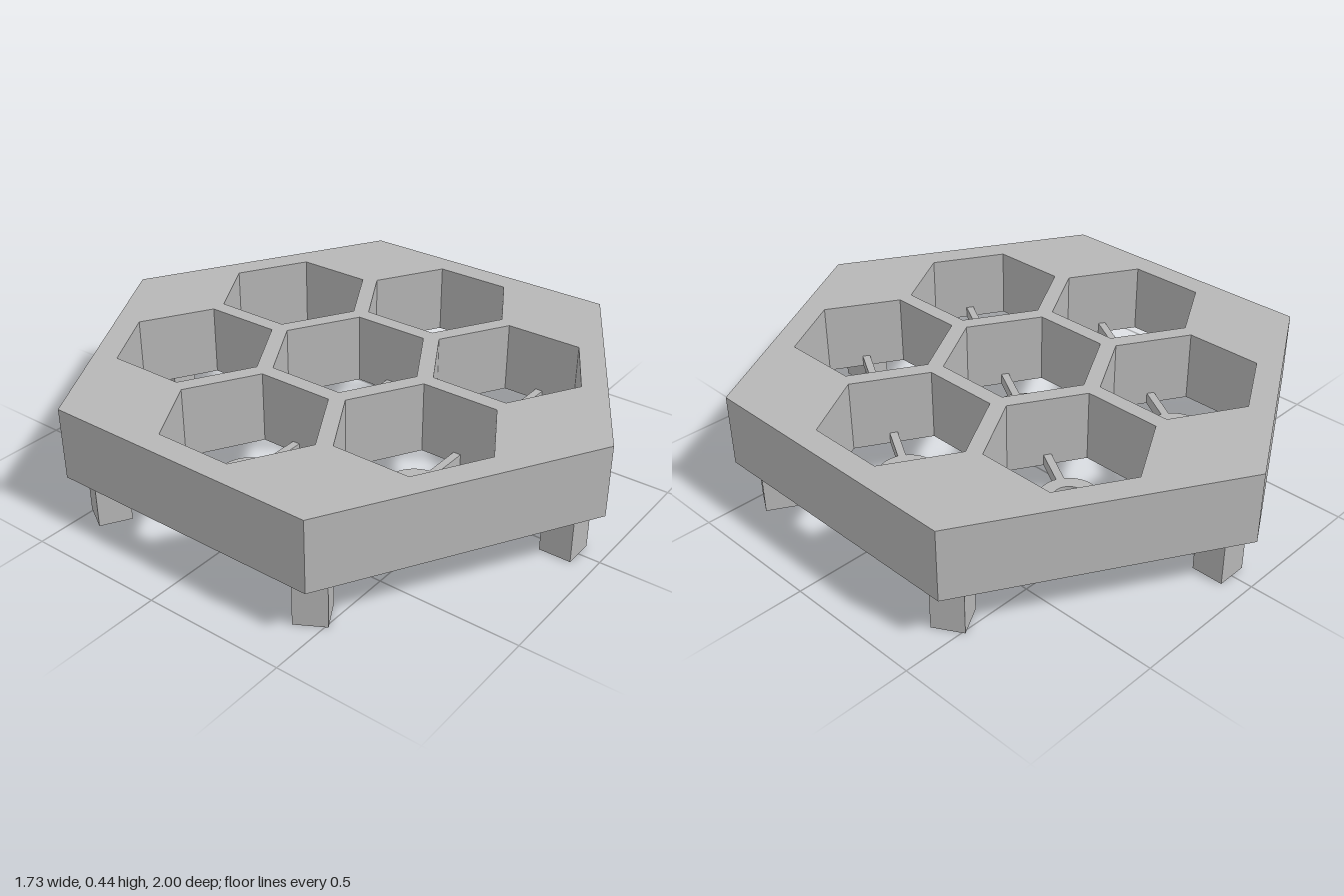
import * as THREE from 'three';

const BODY_Y = 0.18, BODY_H = 0.256;
const PITCH = 0.538, HOLE_R = 0.279;
const RING_H = 0.04, RING_OUT = 0.1, RING_IN = 0.053;

// Corner points of a hexagon whose tips lie on the z axis
function hexPoints(r, cx = 0, cy = 0) {
  return Array.from({ length: 6 }, (_, i) => {
    const a = Math.PI / 6 + i * Math.PI / 3;
    return new THREE.Vector2(cx + r * Math.cos(a), cy + r * Math.sin(a));
  });
}

// Extrude a plan shape upwards from y = 0
function extrudeUp(shape, depth) {
  return new THREE.ExtrudeGeometry(shape, { depth, bevelEnabled: false, curveSegments: 32 }).rotateX(-Math.PI / 2);
}

export function createModel() {
  const model = new THREE.Group();
  model.name = 'hexagonalHolder';
  const grey = new THREE.MeshStandardMaterial({ color: 0xb6b6b6 });
  grey.name = 'grey';

  const add = (parent, geometry, name) => {
    const mesh = new THREE.Mesh(geometry, grey);
    mesh.name = name;
    parent.add(mesh);
    return mesh;
  };

  // Socket centres: one in the middle, six around it
  const centres = [[0, 0]];
  for (let i = 0; i < 6; i++) {
    const a = i * Math.PI / 3;
    centres.push([PITCH * Math.cos(a), PITCH * Math.sin(a)]);
  }

  // Body with seven through holes
  const plan = new THREE.Shape(hexPoints(1));
  for (const [x, z] of centres) plan.holes.push(new THREE.Path(hexPoints(HOLE_R, x, z)));
  add(model, extrudeUp(plan, BODY_H), 'body').position.y = BODY_Y;

  // Ring and three spokes at the bottom of each hole
  const ringPlan = new THREE.Shape().absarc(0, 0, RING_OUT, 0, Math.PI * 2);
  ringPlan.holes.push(new THREE.Path().absarc(0, 0, RING_IN, 0, Math.PI * 2, true));
  const ring = extrudeUp(ringPlan, RING_H);
  const inner = RING_OUT - 0.005, outer = HOLE_R * Math.cos(Math.PI / 6);
  const spoke = new THREE.BoxGeometry(outer - inner, RING_H, 0.027)
    .translate((inner + outer) / 2, RING_H / 2, 0);
  for (const [x, z] of centres) {
    const support = new THREE.Group();
    support.name = 'socketSupport';
    support.position.set(x, BODY_Y, z);
    add(support, ring, 'ring');
    for (let i = 0; i < 3; i++) add(support, spoke, 'spoke').rotation.y = i * Math.PI * 2 / 3;
    model.add(support);
  }

  // Square legs just inside the six corners, turned to face outwards
  const leg = new THREE.BoxGeometry(0.11, BODY_Y, 0.113).translate(0, BODY_Y / 2, 0.867);
  for (let i = 0; i < 6; i++) add(model, leg, 'leg').rotation.y = i * Math.PI / 3;

  return model;
}
